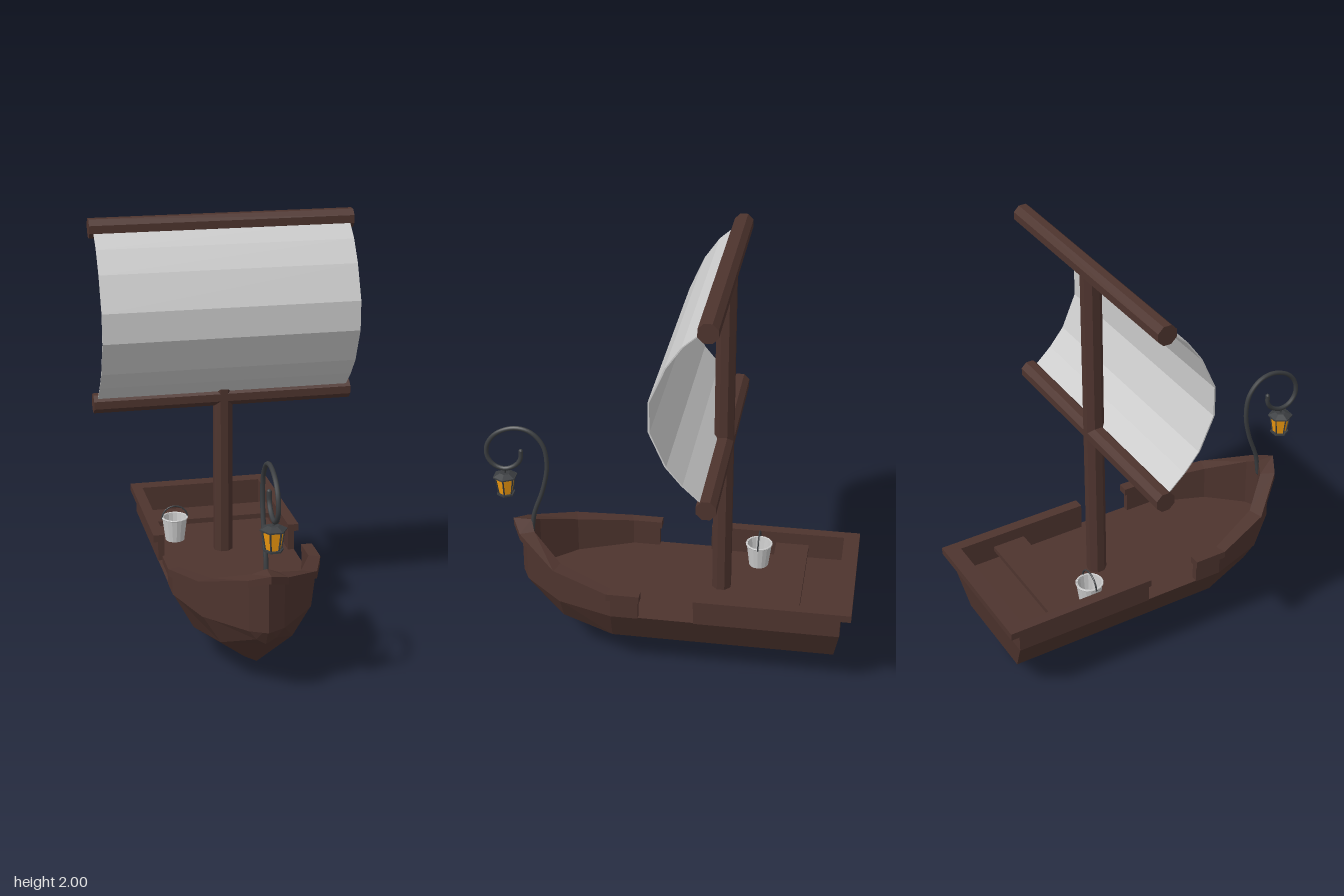
import * as THREE from 'three';

const mat = (color, extra = {}) => new THREE.MeshStandardMaterial({ color, flatShading: true, ...extra });
const wood = mat(0x4e342e);
const iron = mat(0x3a3d40);
const cloth = mat(0xcccccc, { side: THREE.DoubleSide });
const metal = mat(0xcccccc, { side: THREE.DoubleSide });
const amber = mat(0xf09a10);

// Joins equal-length cross-sections (counter-clockwise seen from ahead) and caps both ends
function loft(sections) {
  const pos = [];
  const tri = (a, b, c) => pos.push(...a, ...b, ...c);
  const n = sections[0].length;
  for (let s = 0; s < sections.length - 1; s++) {
    const a = sections[s], b = sections[s + 1];
    for (let i = 0; i < n; i++) {
      const j = (i + 1) % n;
      tri(a[i], a[j], b[j]);
      tri(a[i], b[j], b[i]);
    }
  }
  const first = sections[0], last = sections[sections.length - 1];
  for (let i = 1; i < n - 1; i++) {
    tri(first[0], first[i + 1], first[i]);
    tri(last[0], last[i], last[i + 1]);
  }
  const g = new THREE.BufferGeometry();
  g.setAttribute('position', new THREE.Float32BufferAttribute(pos, 3));
  g.computeVertexNormals();
  return g;
}

// Wall along a plan path; each station: [outerX, outerZ, innerX, innerZ, bottomY, topY]
const wall = (stations) => loft(stations.map(([ox, oz, ix, iz, b, t]) =>
  [[ix, b, iz], [ox, b, oz], [ox, t, oz], [ix, t, iz]]));
const mirrored = (s) => [-s[0], s[1], -s[2], ...s.slice(3)];

export function createModel() {
  const model = new THREE.Group();
  const add = (parent, name, geometry, material, x = 0, y = 0, z = 0) => {
    const m = new THREE.Mesh(geometry, material);
    m.name = name;
    m.position.set(x, y, z);
    parent.add(m);
    return m;
  };

  // Hull: keel, chine and deck edge per station, stern to bow
  const hullRows = [
    [[0, 0, -0.72], [0.24, 0.175, -0.81], [0.335, 0.35, -0.835]],
    [[0, 0, 0.24], [0.24, 0.175, 0.24], [0.335, 0.35, 0.23]],
    [[0, 0.10, 0.49], [0.165, 0.21, 0.49], [0.25, 0.35, 0.49]],
    [[0, 0.27, 0.67], [0.045, 0.30, 0.675], [0.08, 0.35, 0.68]],
    [[0, 0.375, 0.72], [0, 0.375, 0.72], [0, 0.375, 0.72]],
  ];
  const flip = ([x, y, z]) => [-x, y, z];
  add(model, 'hull', loft(hullRows.map(([k, c, s]) => [c, s, flip(s), flip(c), k])), wood);

  // Bulwarks with a boarding gap on each side
  const bowHalf = [
    [0.335, 0.10, 0.305, 0.10, 0.345, 0.45],
    [0.335, 0.23, 0.305, 0.23, 0.345, 0.45],
    [0.25, 0.49, 0.20, 0.49, 0.345, 0.495],
    [0.08, 0.68, 0.06, 0.645, 0.345, 0.57],
  ];
  const around = (half, tip) => [...half, tip, ...half.map(mirrored).reverse()];
  add(model, 'bowBulwark', wall(around(bowHalf, [0, 0.72, 0, 0.672, 0.345, 0.595])), wood);
  const sternHalf = [
    [0.335, -0.16, 0.305, -0.16, 0.345, 0.45],
    [0.335, -0.835, 0.305, -0.81, 0.345, 0.45],
  ];
  add(model, 'sternBulwark', wall([...sternHalf.map(mirrored), ...[...sternHalf].reverse()]), wood);

  // Overhanging rails on top of the bulwarks
  const bowRail = [
    [0.357, 0.09, 0.305, 0.09, 0.445, 0.48],
    [0.357, 0.245, 0.305, 0.23, 0.445, 0.48],
    [0.27, 0.51, 0.20, 0.49, 0.49, 0.525],
    [0.09, 0.71, 0.06, 0.645, 0.565, 0.598],
  ];
  add(model, 'bowRail', wall(around(bowRail, [0, 0.76, 0, 0.672, 0.595, 0.63])), wood);
  const sternRail = [
    [0.357, -0.16, 0.305, -0.16, 0.445, 0.48],
    [0.357, -0.885, 0.305, -0.81, 0.445, 0.48],
  ];
  add(model, 'sternRail', wall([...sternRail.map(mirrored), ...[...sternRail].reverse()]), wood);

  // Bench across the stern
  add(model, 'bench', new THREE.BoxGeometry(0.62, 0.025, 0.16), wood, 0, 0.408, -0.56);

  // Mast and yards
  const pole = (length) => new THREE.CylinderGeometry(0.047, 0.047, length, 8).rotateY(Math.PI / 8);
  add(model, 'mast', pole(1.62), wood, 0, 1.15, -0.25);
  for (const [name, y] of [['upperYard', 1.957], ['lowerYard', 1.132]]) {
    add(model, name, pole(1.232).rotateZ(Math.PI / 2), wood, 0, y, -0.25);
  }

  // Billowing sail: thin curved strip stretched across the beam
  const sailCurve = [[-0.22, 1.95], [-0.14, 1.88], [-0.07, 1.78], [0, 1.62],
    [0, 1.48], [-0.07, 1.32], [-0.14, 1.235], [-0.22, 1.16]];
  const sailShape = new THREE.Shape([
    ...sailCurve.map(([z, y]) => new THREE.Vector2(-z, y)),
    ...[...sailCurve].reverse().map(([z, y]) => new THREE.Vector2(-z + 0.007, y)),
  ]);
  const sail = new THREE.ExtrudeGeometry(sailShape, { depth: 1.194, bevelEnabled: false });
  add(model, 'sail', sail.translate(0, 0, -0.597).rotateY(Math.PI / 2), cloth);

  // Curled lamp post at the bow
  const curl = [[0.672, 0.56], [0.655, 0.67], [0.61, 0.80], [0.586, 0.93], [0.602, 1.04], [0.66, 1.105],
    [0.735, 1.12], [0.82, 1.087], [0.868, 1.025], [0.872, 0.96], [0.84, 0.915], [0.79, 0.90],
    [0.74, 0.92], [0.712, 0.955], [0.708, 1.0]];
  const curlPath = new THREE.CatmullRomCurve3(curl.map(([z, y]) => new THREE.Vector3(0, y, z)));
  const smoothIron = mat(0x3a3d40, { flatShading: false });
  add(model, 'lampPost', new THREE.TubeGeometry(curlPath, 70, 0.011, 8), smoothIron);
  for (const end of [curl[0], curl[curl.length - 1]]) {
    add(model, 'lampPostEnd', new THREE.SphereGeometry(0.011, 8, 6), smoothIron, 0, end[1], end[0]);
  }

  // Hanging hexagonal lantern
  const lantern = new THREE.Group();
  lantern.name = 'lantern';
  lantern.position.set(0, 0, 0.79);
  model.add(lantern);
  const hex = (top, bottom, h) => new THREE.CylinderGeometry(top, bottom, h, 6).rotateY(Math.PI / 6);
  add(lantern, 'lanternGlass', hex(0.047, 0.033, 0.09), amber, 0, 0.815, 0);
  add(lantern, 'lanternBase', hex(0.045, 0.045, 0.008), iron, 0, 0.768, 0);
  add(lantern, 'lanternEave', hex(0.06, 0.06, 0.006), iron, 0, 0.86, 0);
  add(lantern, 'lanternRoof', hex(0.025, 0.058, 0.015), iron, 0, 0.87, 0);
  add(lantern, 'lanternHook', new THREE.CylinderGeometry(0.005, 0.005, 0.04, 6), iron, 0, 0.89, 0);
  for (let i = 0; i < 6; i++) {
    const a = i * Math.PI / 3;
    const at = (r, y) => new THREE.Vector3(Math.cos(a) * r, y, Math.sin(a) * r);
    const bar = new THREE.LineCurve3(at(0.034, 0.768), at(0.048, 0.86));
    add(lantern, 'lanternBar', new THREE.TubeGeometry(bar, 1, 0.004, 4), iron);
  }

  // Bucket with a raised handle
  const bucket = new THREE.Group();
  bucket.name = 'bucket';
  bucket.position.set(-0.21, 0.35, -0.405);
  model.add(bucket);
  const profile = [[0, 0.002], [0.047, 0.002], [0.062, 0.12], [0.056, 0.12], [0.043, 0.012], [0, 0.012]];
  const pail = new THREE.LatheGeometry(profile.map(([r, y]) => new THREE.Vector2(r, y)), 16);
  add(bucket, 'bucketBody', pail, metal);
  add(bucket, 'bucketRim', new THREE.TorusGeometry(0.062, 0.004, 6, 16).rotateX(Math.PI / 2), metal, 0, 0.118, 0);
  add(bucket, 'bucketHandle', new THREE.TorusGeometry(0.064, 0.004, 6, 16, Math.PI), iron, 0, 0.112, 0);

  return model;
}
